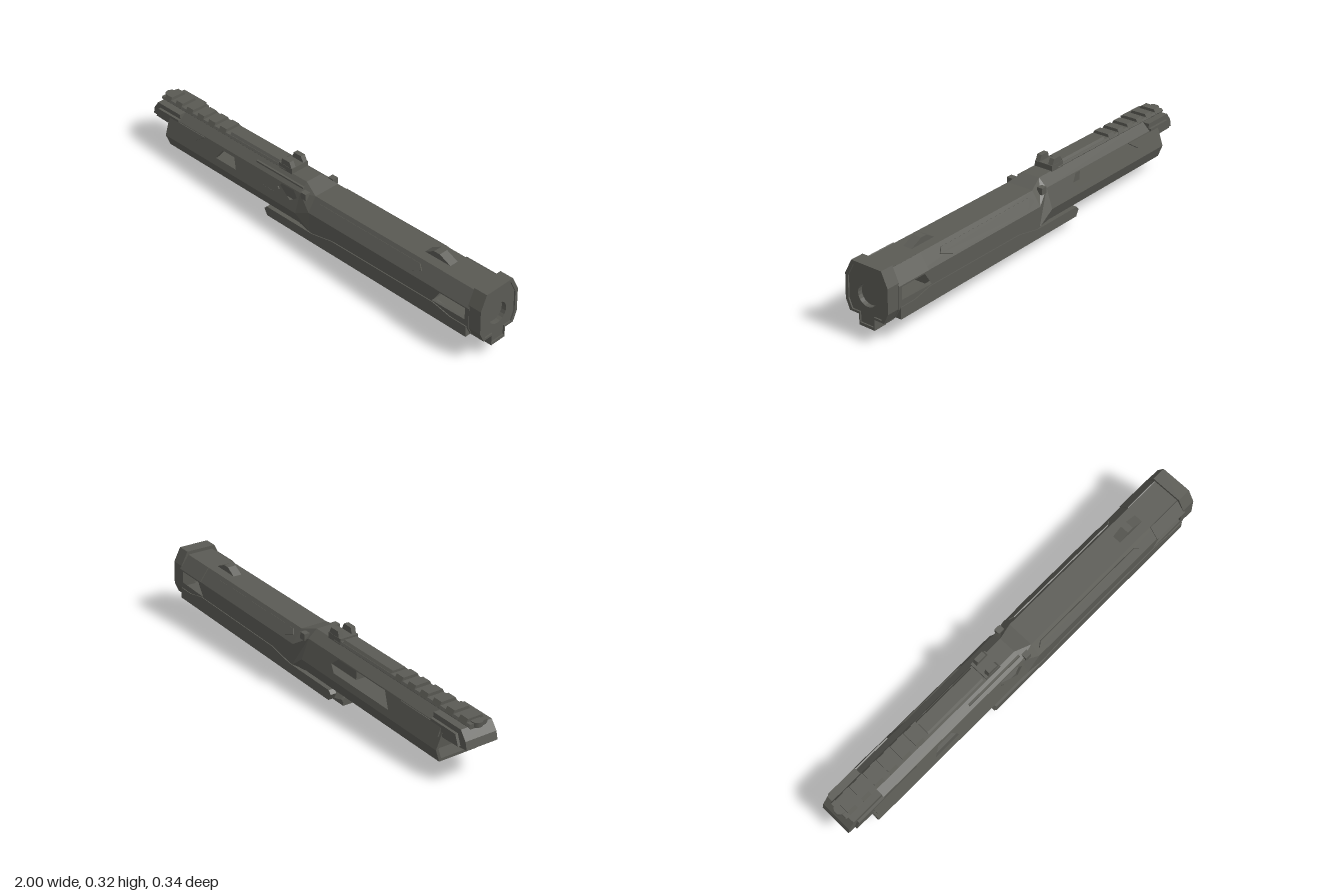
import * as THREE from 'three';

const gunmetal = new THREE.MeshStandardMaterial({ color: 0x5a5a54 });
gunmetal.name = 'gunmetal grey';

// Half cross-sections [sideways, up], running from the bottom edge to the top edge
const REAR = [[0.092, -0.042], [0.112, 0.0135], [0.08, 0.1], [0.04, 0.135]];
const FRONT = [[0.085, -0.085], [0.105, -0.045], [0.105, 0.05], [0.062, 0.11]];
const CAP = [[0.038, -0.132], [0.038, -0.086], [0.083, -0.086], [0.103, -0.042], [0.103, 0.065], [0.072, 0.128]];

const loop = half => [...half, ...half.map(([w, v]) => [-w, v]).reverse()];
const toShape = pts => new THREE.Shape(pts.map(p => new THREE.Vector2(p[0], p[1])));

export function createModel() {
  const model = new THREE.Group();
  const barrel = new THREE.Group();
  barrel.name = 'barrelAssembly';
  model.add(barrel);

  function add(name, geometry) {
    const mesh = new THREE.Mesh(geometry, gunmetal);
    mesh.name = name;
    barrel.add(mesh);
    return mesh;
  }
  function extrude(shape, depth) {
    return new THREE.ExtrudeGeometry(shape, { depth, bevelEnabled: false, curveSegments: 10 });
  }
  // Cross-section drawn out along the barrel
  function prism(name, pts, u0, u1, hole) {
    const s = toShape(pts);
    if (hole) s.holes.push(hole);
    return add(name, extrude(s, u1 - u0).rotateY(Math.PI / 2).translate(u0, 0, 0));
  }
  // Side outline [along, up] drawn out sideways
  function slab(name, pts, w0, w1) {
    return add(name, extrude(toShape(pts), w1 - w0).translate(0, 0, w0));
  }
  function box(name, u0, u1, v0, v1, w0, w1) {
    return add(name, new THREE.BoxGeometry(u1 - u0, v1 - v0, w1 - w0)
      .translate((u0 + u1) / 2, (v0 + v1) / 2, (w0 + w1) / 2));
  }
  // Flat plate on one facet; outline and holes are [along, fraction of the facet height]
  function panel(name, a, b, side, outline, holes = [], thick = 0.012, lift = 0) {
    const p = side > 0 ? a : [-b[0], b[1]], q = side > 0 ? b : [-a[0], a[1]];
    const dw = q[0] - p[0], dv = q[1] - p[1], len = Math.hypot(dw, dv);
    const map = pts => pts.map(([u, f]) => [u, (side > 0 ? f : 1 - f) * len]);
    const s = toShape(map(outline));
    for (const h of holes) s.holes.push(toShape(map(h)));
    const m = new THREE.Matrix4().makeBasis(
      new THREE.Vector3(1, 0, 0),
      new THREE.Vector3(0, dv / len, dw / len),
      new THREE.Vector3(0, -dw / len, dv / len)).setPosition(0, p[1], p[0]);
    add(name, extrude(s, thick).translate(0, 0, lift - thick).applyMatrix4(m));
  }
  const rect = (u0, u1) => [[u0, 0], [u1, 0], [u1, 1], [u0, 1]];

  // Faceted shells with windows
  const window = [[-0.535, 0.34], [-0.4, 0.34], [-0.425, 0.85], [-0.5, 0.85]];
  const slantVent = [[-0.275, 0.4], [-0.16, 0.4], [-0.13, 0.65], [-0.15, 0.94], [-0.245, 0.94]];
  const hexVent = [[-0.11, 0.42], [-0.06, 0.42], [-0.025, 0.68], [-0.05, 0.94], [-0.135, 0.94], [-0.145, 0.72]];
  const port = [[-0.57, 0.3], [-0.22, 0.3], [-0.19, 0.6], [-0.22, 0.95], [-0.52, 0.95]];
  const muzzleWindow = [[0.75, 0.32], [0.92, 0.36], [0.92, 0.93], [0.79, 0.93]];
  for (const side of [1, -1]) {
    for (let i = 0; i < 3; i++) {
      const holes = i === 1 ? (side > 0 ? [window, slantVent, hexVent] : [port]) : [];
      panel('rearShell', REAR[i], REAR[i + 1], side, rect(-0.87, -0.015), holes);
      panel('frontShell', FRONT[i], FRONT[i + 1], side, rect(0.06, 0.94), i === 1 ? [muzzleWindow] : []);
    }
    // Raised strips along the front shoulders, and cheek plates at the rear
    panel('shoulderStrip', FRONT[2], FRONT[3], side,
      [[0.08, 0.45], [0.14, 0.12], [0.62, 0.12], [0.68, 0.45], [0.66, 0.75], [0.1, 0.75]], [], 0.01, 0.005);
    panel('rearCheekPlate', REAR[1], REAR[2], side,
      [[-0.86, 0.55], [-0.68, 0.55], [-0.62, 0.97], [-0.86, 0.97]], [], 0.012, 0.006);
    panel('muzzleCollar', FRONT[2], FRONT[3], side, rect(0.77, 0.94), [], 0.012, 0.004);
  }
  for (const [name, p, u0, u1] of [['rear', REAR, -0.87, -0.015], ['front', FRONT, 0.06, 0.94]]) {
    box(name + 'Floor', u0, u1, p[0][1], p[0][1] + 0.012, -p[0][0], p[0][0]);
    box(name + 'Roof', u0, u1, p[3][1] - 0.012, p[3][1], -p[3][0], p[3][0]);
  }

  // Collar blending the two cross-sections
  const a = loop(REAR), b = loop(FRONT), pos = [];
  for (let i = 0; i < a.length; i++) {
    const j = (i + 1) % a.length;
    const A = [-0.015, a[i][1], a[i][0]], B = [0.06, b[i][1], b[i][0]];
    const C = [0.06, b[j][1], b[j][0]], D = [-0.015, a[j][1], a[j][0]];
    pos.push(...A, ...B, ...C, ...A, ...C, ...D);
  }
  const blend = new THREE.BufferGeometry();
  blend.setAttribute('position', new THREE.Float32BufferAttribute(pos, 3));
  blend.computeVertexNormals();
  add('blendCollar', blend);

  // Inner works and bulkheads
  box('bolt', -0.62, -0.3, 0.064, 0.12, -0.04, 0.04);
  box('ventBacking', -0.3, -0.01, 0.03, 0.12, -0.05, 0.066);
  prism('rearBulkhead', loop(REAR.map(([w, v]) => [w * 0.95, v * 0.95])), -0.81, -0.8);
  prism('midBulkhead', loop(FRONT.map(([w, v]) => [w * 0.95, v * 0.95])), 0.72, 0.73);

  // Rear tang overhanging the shell
  slab('rearTang', [[-0.995, 0.062], [-0.88, 0.052], [-0.8, 0.056], [-0.8, 0.132], [-0.955, 0.132], [-0.985, 0.095]], -0.075, 0.075);
  for (const s of [1, -1])
    slab('tangCheek', [[-0.96, 0.066], [-0.8, 0.062], [-0.8, 0.11], [-0.94, 0.11]], s * 0.08 - 0.007, s * 0.08 + 0.007);
  add('tangStud', new THREE.CylinderGeometry(0.025, 0.025, 0.02, 10).translate(-0.955, 0.14, 0));

  // Top rail with teeth, smooth cover and rear sight
  prism('topRail', [[-0.036, 0.125], [0.036, 0.125], [0.046, 0.137], [0.04, 0.146], [-0.04, 0.146], [-0.046, 0.137]], -0.965, -0.14);
  for (let i = 0; i < 6; i++) {
    const u = -0.945 + i * 0.075;
    prism('topRailTooth', [[-0.046, 0.138], [0.046, 0.138], [0.034, 0.159], [-0.034, 0.159]], u, u + 0.042);
  }
  prism('railCover', [[-0.04, 0.144], [0.04, 0.144], [0.03, 0.156], [-0.03, 0.156]], -0.5, -0.19);
  box('sightBase', -0.18, -0.1, 0.13, 0.158, -0.044, 0.044);
  for (const s of [1, -1])
    slab('sightEar', [[-0.17, 0.15], [-0.1, 0.15], [-0.115, 0.184], [-0.16, 0.184]], s * 0.032 - 0.011, s * 0.032 + 0.011);

  // Front sight ramp and shell studs
  slab('frontSight', [[0.63, 0.108], [0.77, 0.108], [0.71, 0.136], [0.68, 0.136]], -0.02, 0.02);
  for (const s of [1, -1]) box('shellStud', 0.0, 0.03, 0.085, 0.115, s * 0.077 - 0.013, s * 0.077 + 0.013);

  // Lower housing with raised flanks and toothed rail
  prism('lowerHousing', loop([[0.045, -0.108], [0.078, -0.09], [0.082, -0.04]]), -0.2, 0.94);
  for (const s of [1, -1])
    slab('housingFlank', [[-0.215, -0.06], [-0.2, -0.09], [0.93, -0.088], [0.93, -0.038], [0.85, -0.038],
      [0.76, -0.018], [0.2, -0.022], [0.08, -0.045], [-0.2, -0.045]], s * 0.095 - 0.014, s * 0.095 + 0.014);
  prism('lowerRail', loop([[0.03, -0.116], [0.047, -0.112], [0.047, -0.105], [0.036, -0.098]]), -0.215, 0.95);
  box('railEndStop', -0.21, -0.11, -0.134, -0.11, -0.04, 0.04);
  for (let i = 0; i < 14; i++) {
    const u = -0.08 + i * 0.075;
    prism('lowerRailTooth', loop([[0.036, -0.131], [0.048, -0.119], [0.048, -0.108]]), u, u + 0.042);
  }

  // Muzzle cap: rim, recessed face and bore
  const inner = CAP.map(([w, v]) => [w * 0.87, v < -0.1 ? v + 0.012 : v * 0.89]);
  prism('muzzleCapRim', loop(CAP), 0.935, 0.997, new THREE.Path(loop(inner).map(p => new THREE.Vector2(p[0], p[1]))));
  const bore = new THREE.Path().absarc(0, 0, 0.047, 0, Math.PI * 2);
  prism('muzzleFace', loop(inner), 0.94, 0.991, bore);
  add('boreEnd', new THREE.CylinderGeometry(0.05, 0.05, 0.01, 12).rotateZ(Math.PI / 2).translate(0.965, 0, 0));

  // The whole assembly lies slightly nose-up and turned
  barrel.rotation.set(0, 0.067, 0.05);
  barrel.position.set(0, 0.142, 0);
  return model;
}
